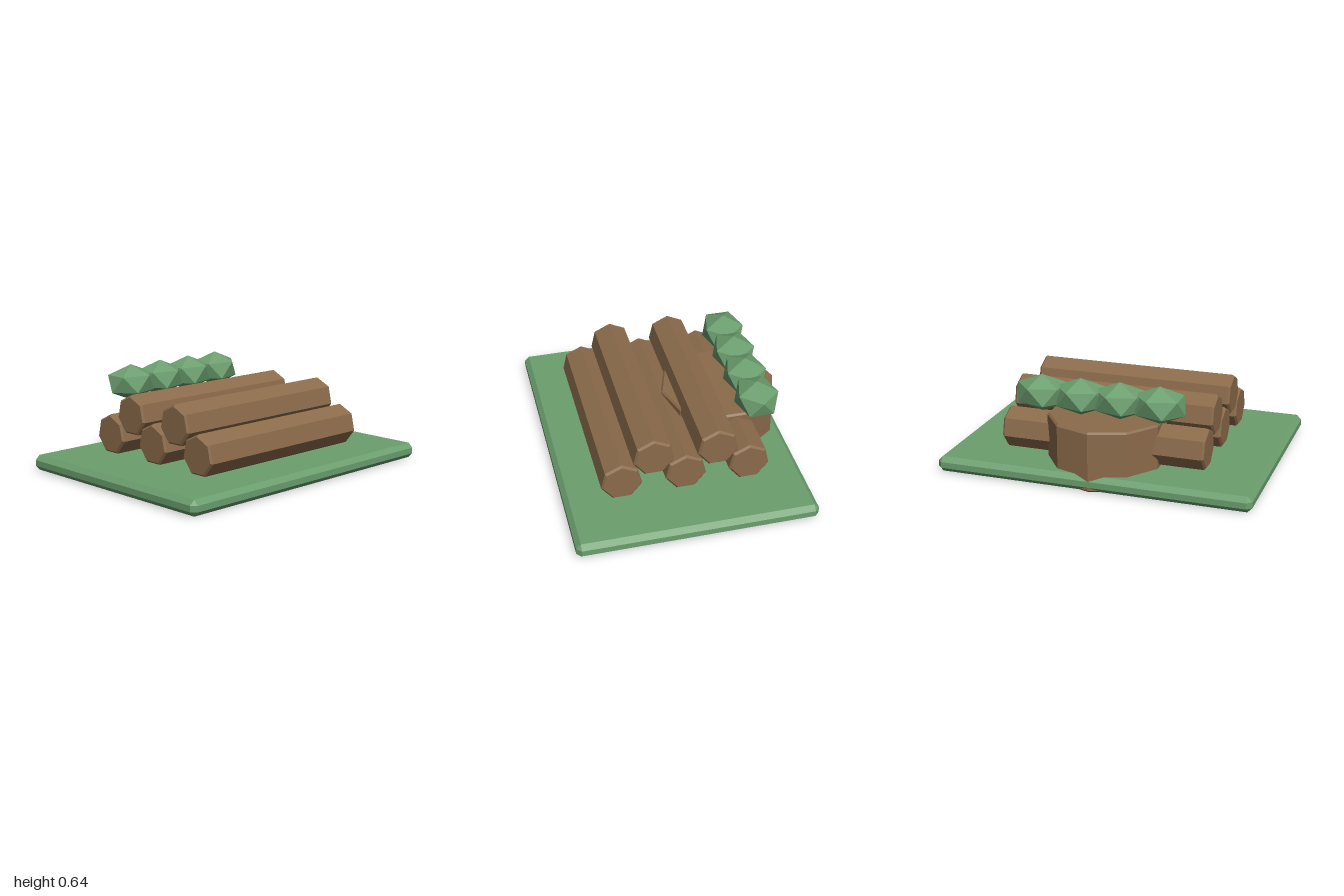
import * as THREE from 'three';
import { ConvexGeometry } from 'three/addons/geometries/ConvexGeometry.js';

const wood = new THREE.MeshStandardMaterial({ color: 0x8b6b4b, flatShading: true });
const leaf = new THREE.MeshStandardMaterial({ color: 0x6b9e6e, flatShading: true });

// Upright faceted cylinder with chamfered rims, centred on its middle
function chamferedPrism(radius, height, sides, bevel) {
  const h = height / 2;
  const profile = [
    [0, -h], [radius - bevel, -h], [radius, -h + bevel],
    [radius, h - bevel], [radius - bevel, h], [0, h],
  ].map(([x, y]) => new THREE.Vector2(x, y));
  return new THREE.LatheGeometry(profile, sides);
}

// Box with every edge and corner cut off
function chamferedBox(w, h, d, bevel) {
  const points = [];
  for (const sx of [-1, 1]) for (const sy of [-1, 1]) for (const sz of [-1, 1]) {
    const x = w / 2, y = h / 2, z = d / 2, b = bevel;
    points.push(
      new THREE.Vector3(sx * x, sy * (y - b), sz * (z - b)),
      new THREE.Vector3(sx * (x - b), sy * y, sz * (z - b)),
      new THREE.Vector3(sx * (x - b), sy * (y - b), sz * z),
    );
  }
  return new ConvexGeometry(points);
}

export function createModel() {
  const model = new THREE.Group();
  const add = (name, geometry, material, x, y, z) => {
    const mesh = new THREE.Mesh(geometry, material);
    mesh.name = name;
    mesh.position.set(x, y, z);
    model.add(mesh);
  };

  // Ground slab, its underside a hair above the stump's
  add('groundSlab', chamferedBox(2, 0.098, 1.5, 0.03), leaf, 0, 0.051, 0);

  // Tree stump set through the slab
  add('stump', chamferedPrism(0.375, 0.383, 10, 0.012), wood, 0, 0.1915, -0.375);

  // Stacked logs lying along x, one corner upward
  const log = chamferedPrism(0.13, 1.3, 7, 0.013);
  log.rotateX(-Math.PI / 2).rotateY(Math.PI / 2);
  const rows = [[0.4, 0.233], [0, 0.233], [-0.4, 0.233], [0.2, 0.384], [-0.2, 0.384]];
  rows.forEach(([z, y], i) => add(`log${i + 1}`, log, wood, 0, y, z));

  // Row of leafy tufts: stretched icosahedra standing on a corner
  const tuft = new THREE.IcosahedronGeometry(1, 0);
  tuft.rotateZ(-Math.atan(2 / (1 + Math.sqrt(5)))).scale(0.179, 0.117, 0.147);
  for (let i = 0; i < 4; i++) {
    add(`leafTuft${i + 1}`, tuft, leaf, -0.375 + 0.25 * i, 0.52, -0.515);
  }

  return model;
}
